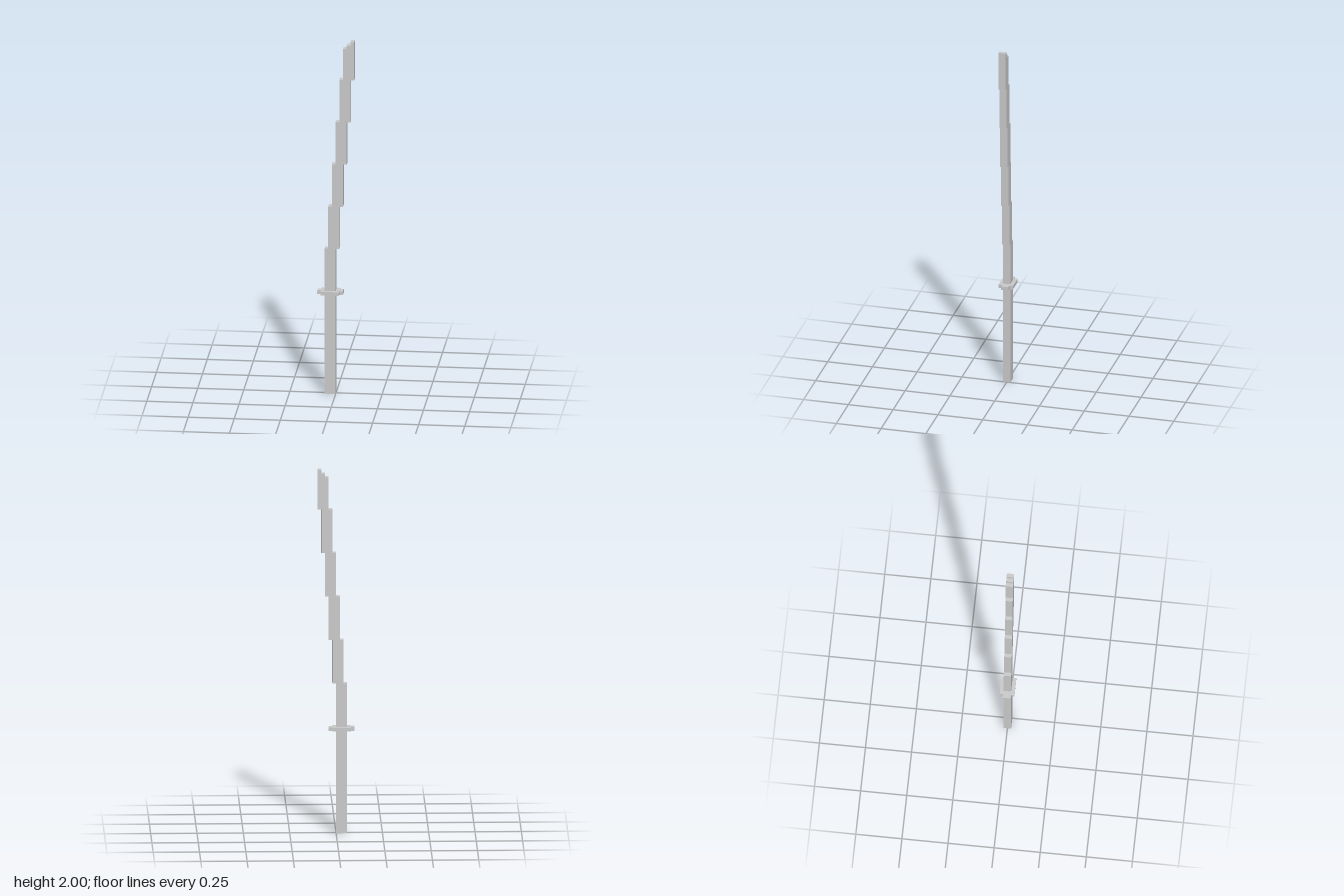
import * as THREE from 'three';

const U = 0.02; // block size of the stepped style

export function createModel() {
  const group = new THREE.Group();
  const material = new THREE.MeshStandardMaterial({ color: 0xcccccc, flatShading: true });

  // Extrudes an outline to a given depth, centred on z = 0
  const addSlab = (name, points, depth) => {
    const shape = new THREE.Shape(points.map(([x, y]) => new THREE.Vector2(x, y)));
    const geometry = new THREE.ExtrudeGeometry(shape, { depth, bevelEnabled: false });
    const mesh = new THREE.Mesh(geometry.translate(0, 0, -depth / 2), material);
    mesh.name = name;
    group.add(mesh);
    return mesh;
  };

  // Grip: straight bar below the guard
  const guardBottom = 0.564, guardTop = 0.584;
  addSlab('grip', [[-0.06, 0], [0, 0], [0, guardBottom], [-0.06, guardBottom]], 2 * U);

  // Guard: flat plate with notched corners, lying across the grip
  const guard = addSlab('guard', [
    [-0.10, -U], [-0.08, -U], [-0.08, -2 * U], [0.02, -2 * U], [0.02, -U], [0.04, -U],
    [0.04, U], [0.02, U], [0.02, 2 * U], [-0.08, 2 * U], [-0.08, U], [-0.10, U],
  ], guardTop - guardBottom);
  guard.rotation.x = -Math.PI / 2;
  guard.position.y = (guardBottom + guardTop) / 2;

  // Blade: six equal lengths, each shifted one block sideways, with a stepped tip
  const segments = 6, length = 0.24;
  const rightEdge = [], leftEdge = [];
  for (let i = 0; i < segments; i++) {
    const y0 = guardTop + i * length;
    const last = i === segments - 1;
    const x = -0.06 + i * U;
    rightEdge.push([x + 3 * U, y0], [x + 3 * U, last ? 2 : y0 + length]);
    leftEdge.push([x, y0], [x, last ? 2 - 2 * U : y0 + length]);
  }
  const tip = [[0.08, 2], [0.08, 2 - U], [0.06, 2 - U], [0.06, 2 - 2 * U]];
  addSlab('blade', [...rightEdge, ...tip, ...leftEdge.reverse()], 2 * U);

  return group;
}
